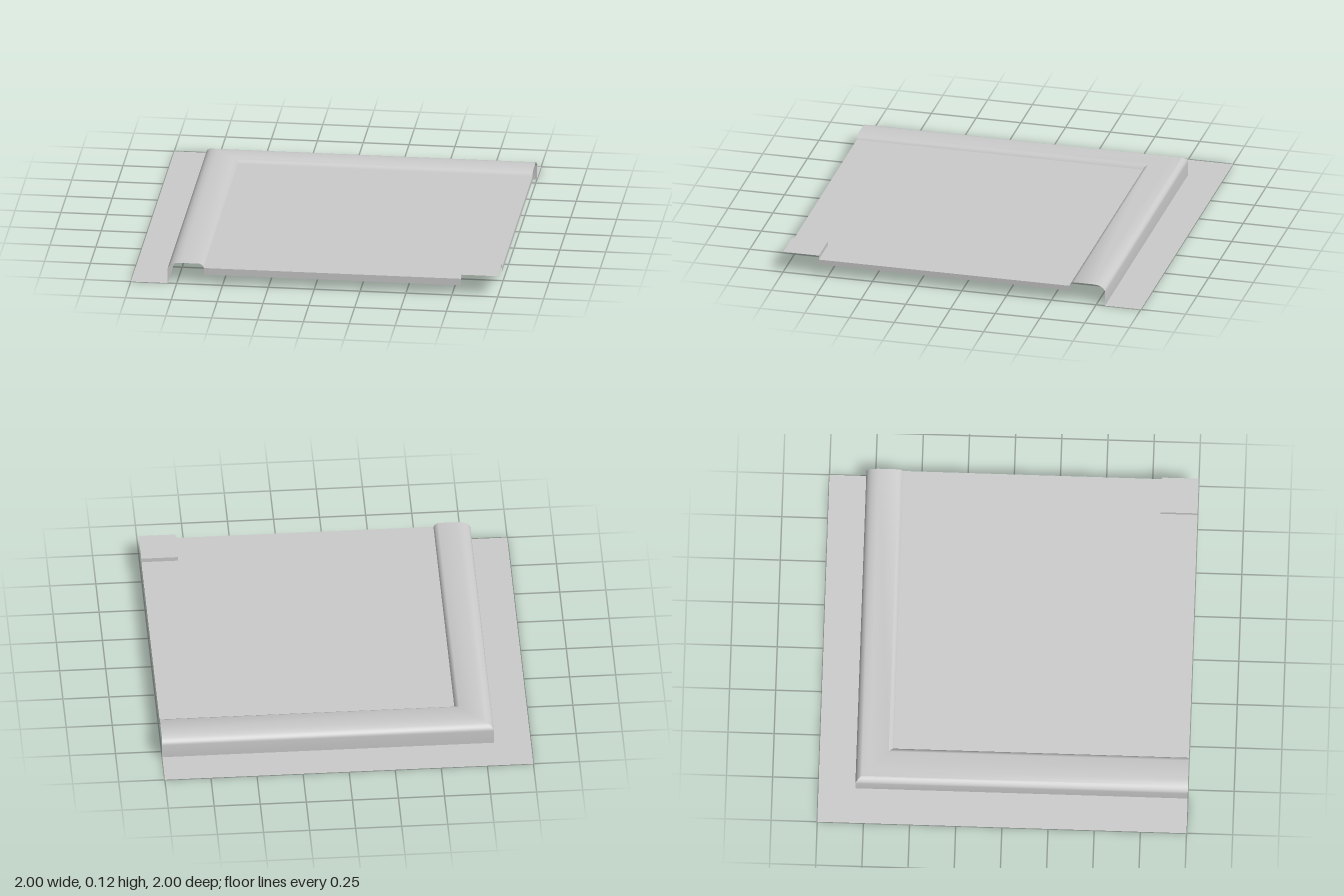
import * as THREE from 'three';
import { toCreasedNormals } from 'three/addons/utils/BufferGeometryUtils.js';

const material = new THREE.MeshStandardMaterial({ color: 0xcccccc, side: THREE.DoubleSide });
const ROAD = 0.096, TOP = 0.12;

function add(group, name, geometry) {
  const mesh = new THREE.Mesh(geometry, material);
  mesh.name = name;
  group.add(mesh);
  return mesh;
}

// Sweeps a profile of [offset, height] around the mitred back-left corner
function cornerSweep(profile) {
  const positions = [], index = [];
  for (const [d, y] of profile) positions.push(d, y, 1, d, y, d, 1, y, d);
  for (let i = 0; i < profile.length - 1; i++) {
    for (let j = 0; j < 2; j++) {
      const a = i * 3 + j, b = a + 3;
      index.push(a, b, a + 1, b, b + 1, a + 1);
    }
  }
  const geometry = new THREE.BufferGeometry();
  geometry.setAttribute('position', new THREE.Float32BufferAttribute(positions, 3));
  geometry.setIndex(index);
  return toCreasedNormals(geometry, 0.6);
}

// Flat horizontal panel from [x, z] corners
function panel(corners, y) {
  const shape = new THREE.Shape(corners.map(([x, z]) => new THREE.Vector2(x, -z)));
  return new THREE.ShapeGeometry(shape).rotateX(-Math.PI / 2).translate(0, y, 0);
}

// Upright wall; turn 0 faces +z, PI / 2 faces +x
function wall(group, name, from, to, low, high, at, turn) {
  const mesh = add(group, name, new THREE.PlaneGeometry(to - from, high - low));
  const mid = (from + to) / 2, y = (low + high) / 2;
  mesh.rotation.y = turn;
  if (Math.abs(turn) > 0.1 && Math.abs(turn) < 3) mesh.position.set(at, y, mid);
  else mesh.position.set(mid, y, at);
}

export function createModel() {
  const group = new THREE.Group();
  group.name = 'cornerTile';

  // Ground strip along the two outer sides
  add(group, 'groundStrip', cornerSweep([[-1, 0], [-0.8, 0]]));

  // Outer curb: upright face, rounded shoulder, flat top, inner bevel
  const curb = [[-0.8, 0], [-0.8, 0.08]];
  const steps = 8;
  for (let i = 1; i <= steps; i++) {
    const a = (i / steps) * Math.PI / 2;
    curb.push([-0.73 - 0.07 * Math.cos(a), 0.08 + 0.04 * Math.sin(a)]);
  }
  curb.push([-0.625, TOP], [-0.608, 0.11], [-0.6, ROAD]);
  add(group, 'outerCurb', cornerSweep(curb));

  // Road surface, notched at the inner corner
  add(group, 'roadSurface', panel(
    [[-0.6, -0.6], [-0.6, 1], [0.8, 1], [0.8, 0.8], [1, 0.8], [1, -0.6]], ROAD));

  // Thin skirts under the open road edges
  wall(group, 'frontSkirt', -0.6, 0.8, 0.058, ROAD, 1, 0);
  wall(group, 'leftSkirt', -0.6, 0.8, 0.068, ROAD, 1, Math.PI / 2);

  // Raised inner corner block
  add(group, 'innerCornerTop', panel([[0.8, 0.8], [0.8, 1], [1, 1], [1, 0.8]], TOP));
  wall(group, 'innerCornerBackWall', 0.8, 1, ROAD, TOP, 0.8, Math.PI);
  wall(group, 'innerCornerSideWall', 0.8, 1, ROAD, TOP, 0.8, -Math.PI / 2);

  return group;
}
